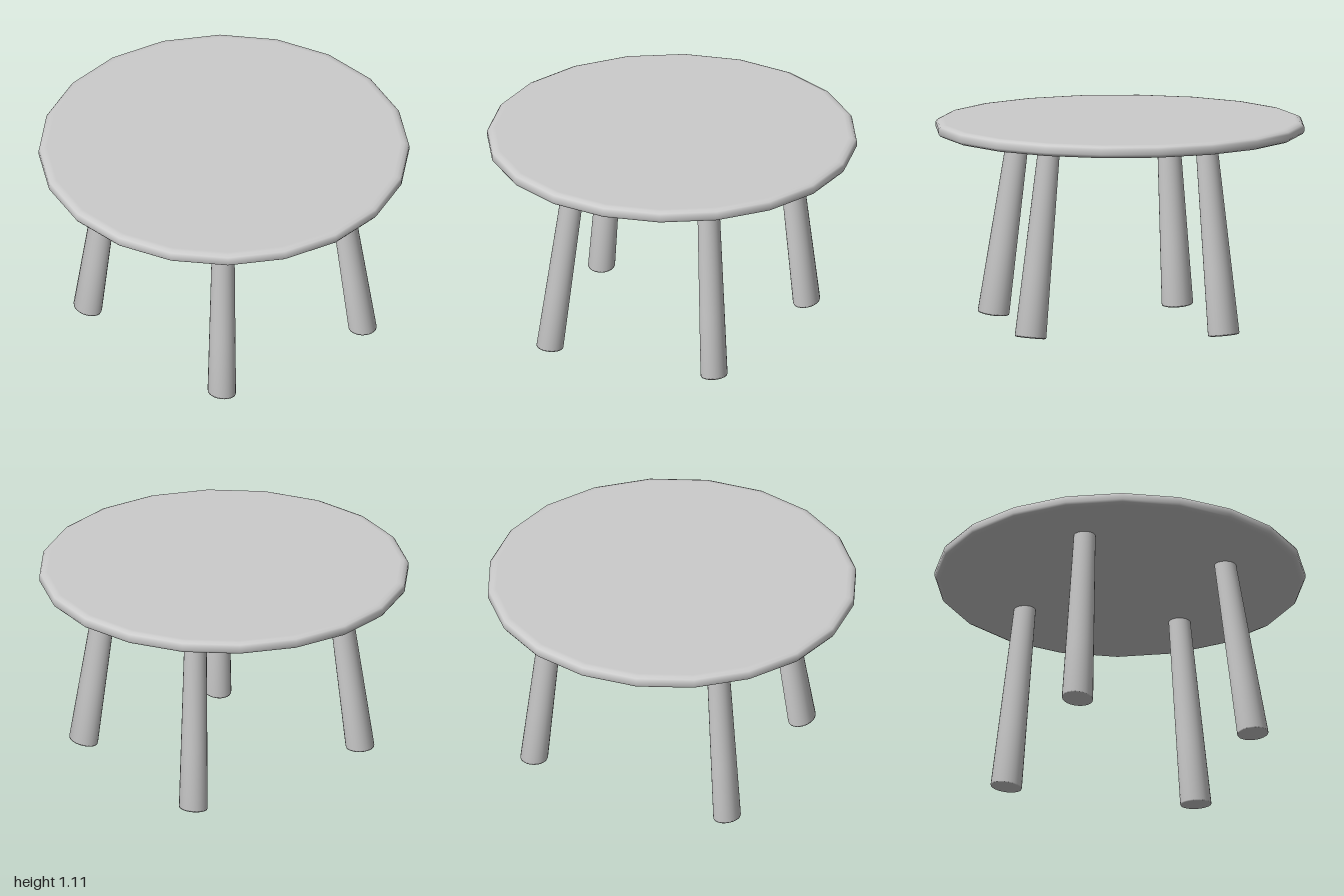
import * as THREE from 'three';

const material = new THREE.MeshStandardMaterial({ color: 0xcccccc });

// Lathe from [radius, height] pairs, listed from bottom to top
function lathe(points, sides) {
  return new THREE.LatheGeometry(points.map(([r, y]) => new THREE.Vector2(r, y)), sides);
}

// Round, slightly soft-edged 20-sided top
function tableTop() {
  const mesh = new THREE.Mesh(lathe([
    [0, 1.044], [0.955, 1.044], [0.975, 1.046], [0.992, 1.054], [1, 1.066],
    [1, 1.092], [0.992, 1.104], [0.975, 1.112], [0.955, 1.114], [0, 1.114],
  ], 20), material);
  mesh.name = 'tableTop';
  return mesh;
}

// Splayed leg: round at the top, thicker and slightly oval at the foot,
// with the foot cut square to the leg's slope
function leg(name, [topX, topZ], [footX, footZ]) {
  const height = 1.05;
  const geometry = lathe([
    [0, 0], [0.9, 0], [0.9, 0], [0.98, 0.003], [1, 0.01], [1, 0.35], [1, 0.7], [1, height],
  ], 24);
  const pos = geometry.attributes.position;
  const slopeX = (topX - footX) / height;
  const slopeZ = (topZ - footZ) / height;
  for (let i = 0; i < pos.count; i++) {
    const t = pos.getY(i) / height;
    const dx = pos.getX(i) * THREE.MathUtils.lerp(0.071, 0.059, t);
    const dz = pos.getZ(i) * THREE.MathUtils.lerp(0.086, 0.059, t);
    const tilt = -(dx * slopeX + dz * slopeZ) * (1 - t);
    pos.setXYZ(i,
      THREE.MathUtils.lerp(footX, topX, t) + dx,
      THREE.MathUtils.lerp(0.013, height, t) + tilt,
      THREE.MathUtils.lerp(footZ, topZ, t) + dz);
  }
  const mesh = new THREE.Mesh(geometry, material);
  mesh.name = name;
  return mesh;
}

export function createModel() {
  const table = new THREE.Group();
  table.name = 'roundTable';
  table.add(
    tableTop(),
    leg('frontRightLeg', [-0.365, 0.475], [-0.47, 0.598]),
    leg('frontLeftLeg', [0.4, 0.475], [0.485, 0.598]),
    leg('backRightLeg', [-0.48, -0.365], [-0.588, -0.443]),
    leg('backLeftLeg', [0.52, -0.365], [0.605, -0.443]),
  );
  return table;
}
